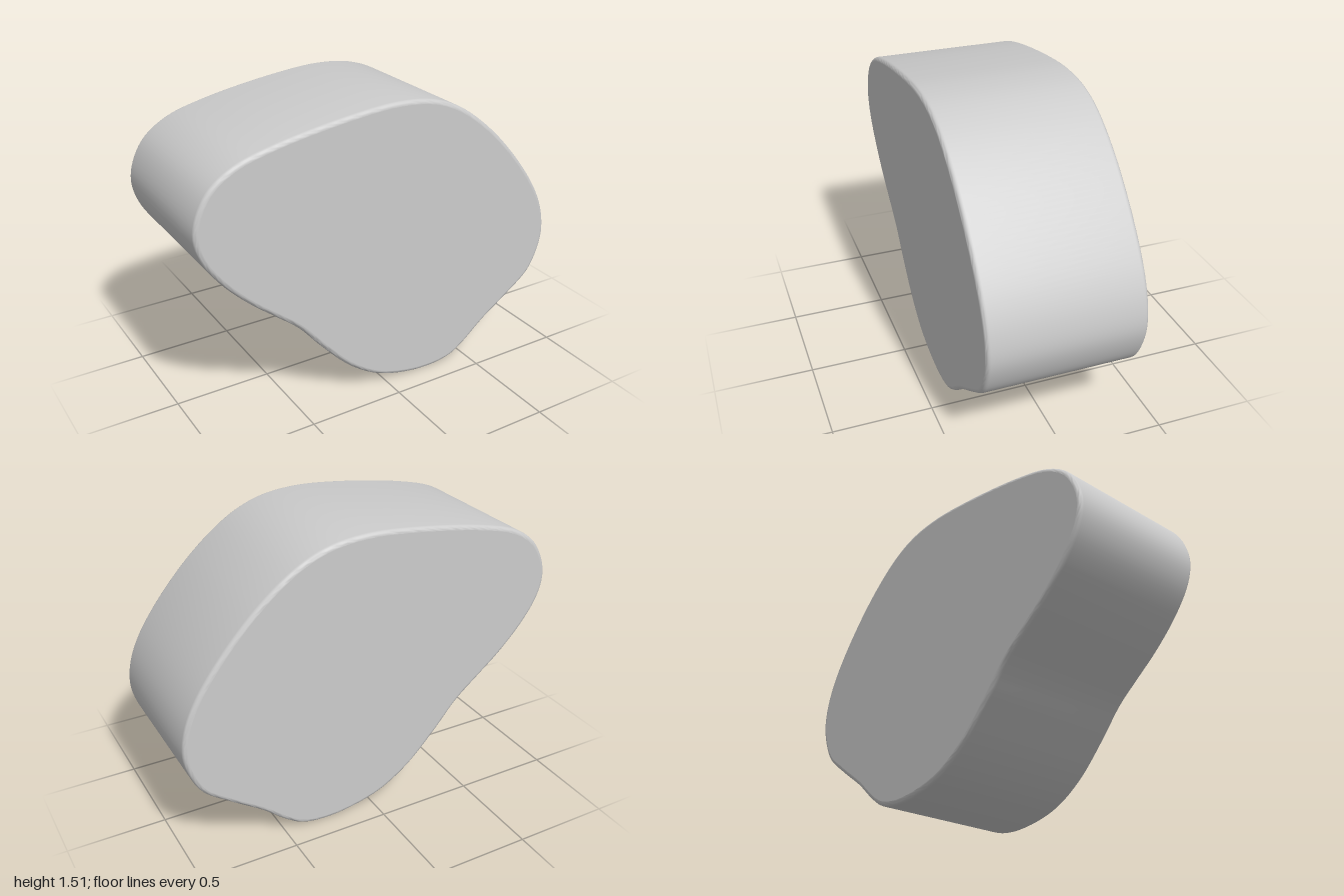
import * as THREE from 'three';
import { toCreasedNormals } from 'three/addons/utils/BufferGeometryUtils.js';

// Control points of the pebble outline, counter-clockwise from the bottom
const OUTLINE = [
  [0.28, 0.003], [0.41, 0.025], [0.5, 0.08], [0.62, 0.18], [0.78, 0.29], [0.91, 0.39],
  [0.96, 0.47], [0.997, 0.6], [0.985, 0.73], [0.93, 0.87], [0.8, 1.06], [0.6, 1.275],
  [0.4, 1.425], [0.24, 1.49], [0.05, 1.512], [-0.2, 1.495], [-0.6, 1.43], [-0.8, 1.37],
  [-0.92, 1.285], [-0.985, 1.17], [-1, 1.07], [-0.97, 0.96], [-0.88, 0.825], [-0.75, 0.69],
  [-0.63, 0.59], [-0.5, 0.48], [-0.38, 0.34], [-0.22, 0.175], [-0.06, 0.07], [0.1, 0.02],
];
const HALF_DEPTH = 0.39;
const BEVEL = 0.022;

export function createModel() {
  const group = new THREE.Group();
  group.name = 'slab';

  // Smooth closed outline
  const curve = new THREE.CatmullRomCurve3(
    OUTLINE.map(([x, y]) => new THREE.Vector3(x, y, 0)), true, 'centripetal');
  const points = curve.getSpacedPoints(200).slice(0, -1);
  const shape = new THREE.Shape(points.map((p) => new THREE.Vector2(p.x, p.y)));

  // Thick body with softly rounded rims
  const extruded = new THREE.ExtrudeGeometry(shape, {
    depth: 2 * (HALF_DEPTH - BEVEL), steps: 1, curveSegments: 1,
    bevelEnabled: true, bevelSize: BEVEL, bevelThickness: BEVEL,
    bevelOffset: -BEVEL, bevelSegments: 5,
  });
  extruded.translate(0, 0, BEVEL - HALF_DEPTH);
  const geometry = toCreasedNormals(extruded, 0.7);

  // Keep the two end faces perfectly flat in shading
  const pos = geometry.attributes.position;
  const nor = geometry.attributes.normal;
  for (let i = 0; i < pos.count; i += 3) {
    const corners = [i, i + 1, i + 2];
    for (const s of [-1, 1]) {
      if (corners.every((k) => pos.getZ(k) * s > HALF_DEPTH - 1e-4)) {
        corners.forEach((k) => nor.setXYZ(k, 0, 0, s));
      }
    }
  }

  const body = new THREE.Mesh(geometry, new THREE.MeshStandardMaterial({ color: 0xcccccc }));
  body.name = 'body';
  group.add(body);
  return group;
}
